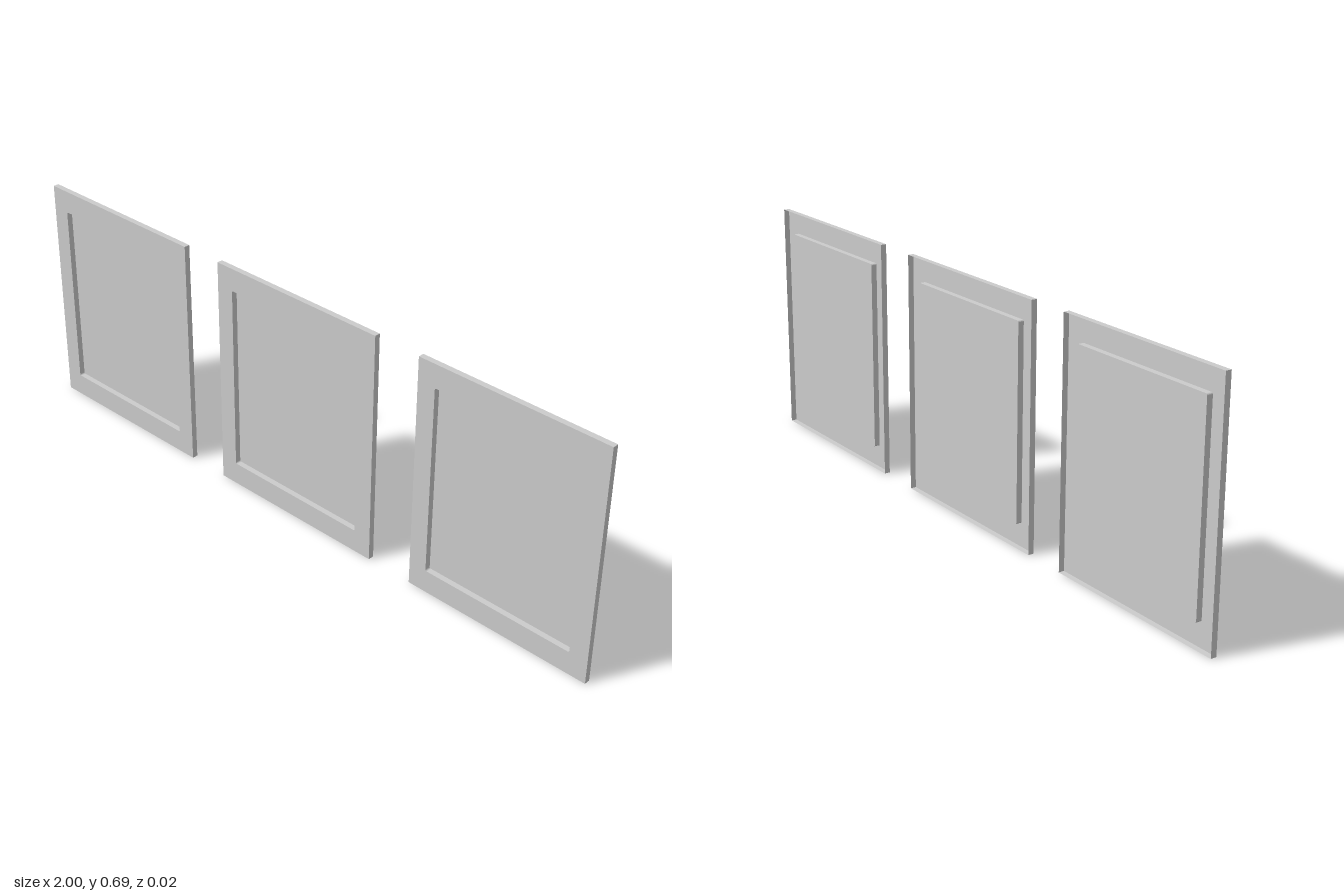
import * as THREE from 'three';

const WIDTH = 0.575, HEIGHT = 0.695, HALF_DEPTH = 0.0085;
const INNER_W = 0.465, INNER_H = 0.56;
const material = new THREE.MeshStandardMaterial({ color: 0xcccccc, side: THREE.DoubleSide, flatShading: true });

// Rectangle outline with slightly rounded corners, counter-clockwise
function outline(Path, w, h, r) {
  const p = new Path(), x = w / 2, y = h / 2;
  if (r === 0) {
    p.setFromPoints([[-x, -y], [x, -y], [x, y], [-x, y]].map(([a, b]) => new THREE.Vector2(a, b)));
    return p;
  }
  const q = Math.PI / 2;
  p.absarc(x - r, -y + r, r, -q, 0, false);
  p.absarc(x - r, y - r, r, 0, q, false);
  p.absarc(-x + r, y - r, r, q, 2 * q, false);
  p.absarc(-x + r, -y + r, r, 2 * q, 3 * q, false);
  p.closePath();
  return p;
}

// Thin wall following an outline from the front plane to the back plane
function wall(path) {
  const pts = path.getPoints(3), pos = [];
  const n = pts.length;
  for (let i = 0; i < n; i++) {
    const a = pts[i], b = pts[(i + 1) % n], f = HALF_DEPTH;
    if (a.distanceTo(b) < 1e-6) continue;
    pos.push(a.x, a.y, -f, b.x, b.y, -f, b.x, b.y, f, a.x, a.y, -f, b.x, b.y, f, a.x, a.y, f);
  }
  const g = new THREE.BufferGeometry();
  g.setAttribute('position', new THREE.Float32BufferAttribute(pos, 3));
  g.computeVertexNormals();
  return g;
}

function createPanel() {
  const panel = new THREE.Group();
  const add = (name, geometry, z = 0) => {
    const m = new THREE.Mesh(geometry, material);
    m.name = name;
    m.position.z = z;
    panel.add(m);
  };
  const outer = outline(THREE.Shape, WIDTH, HEIGHT, 0);
  const inner = outline(THREE.Shape, INNER_W, INNER_H, 0.005);
  const frame = outer.clone();
  frame.holes.push(outline(THREE.Path, INNER_W, INNER_H, 0.005));

  // Pressed sheet: front frame, edge flange, and a recess pushed out at the back
  add('frontFrame', new THREE.ShapeGeometry(frame, 3), HALF_DEPTH);
  add('edgeFlange', wall(outer));
  add('recessWall', wall(inner));
  add('recessedPanel', new THREE.ShapeGeometry(inner, 3), -HALF_DEPTH);
  return panel;
}

export function createModel() {
  const model = new THREE.Group();
  model.name = 'threePanels';
  // Row of three identical panels
  [['rightPanel', -0.7125], ['middlePanel', -0.006], ['leftPanel', 0.7125]].forEach(([name, x]) => {
    const p = createPanel();
    p.name = name;
    p.position.set(x, HEIGHT / 2, 0);
    model.add(p);
  });
  return model;
}
